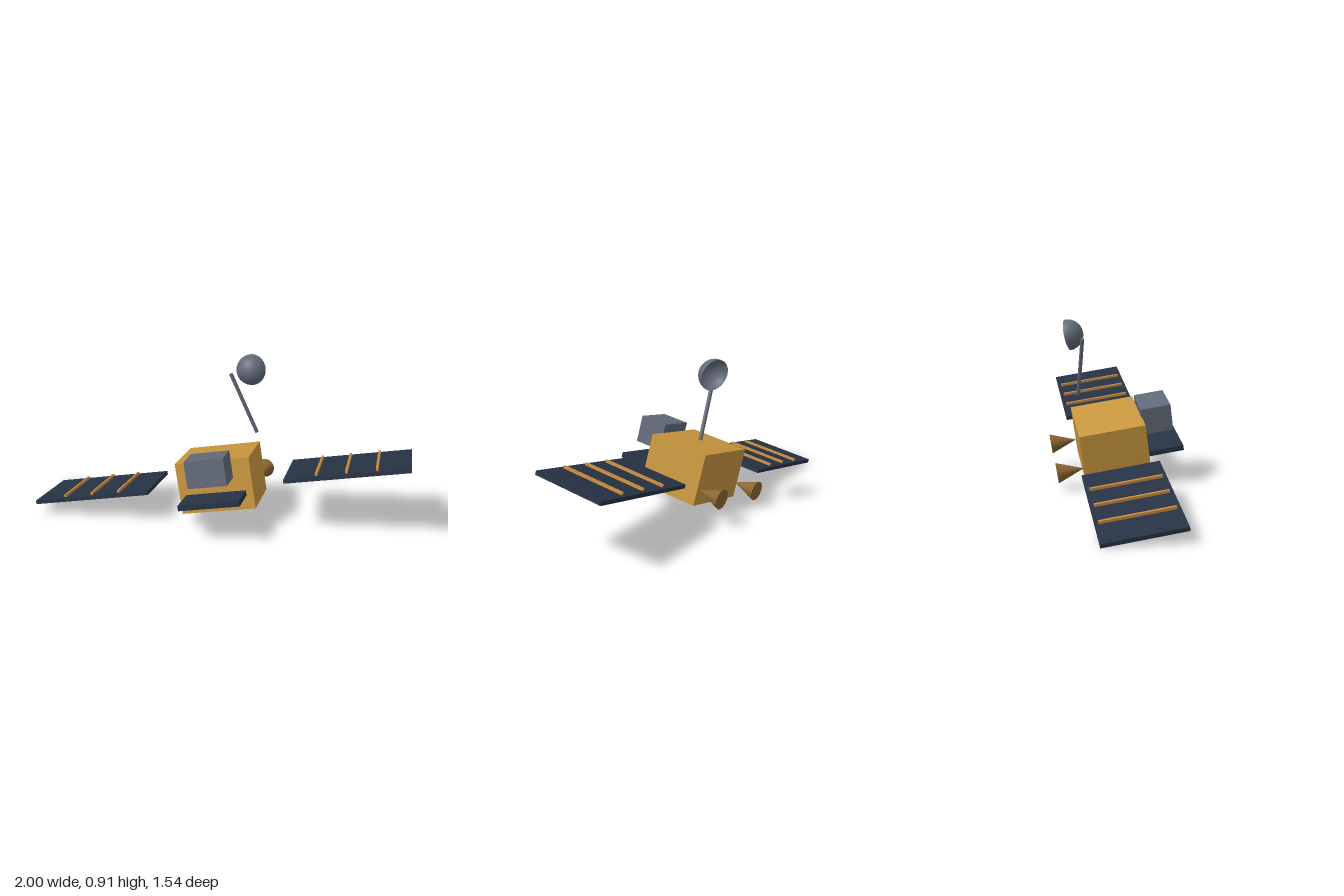
import * as THREE from 'three';

export function createModel() {
  const mat = (name, color, side = THREE.FrontSide) => {
    const m = new THREE.MeshStandardMaterial({ color, side });
    m.name = name;
    return m;
  };
  const gold = mat('gold foil', 0xc8963e);
  const navy = mat('navy panel', 0x263244);
  const copper = mat('copper strip', 0xc98b3c);
  const grey = mat('slate grey', 0x626978, THREE.DoubleSide);
  const brown = mat('nozzle brown', 0x8a6530);

  const model = new THREE.Group();
  model.name = 'satellite';
  const craft = new THREE.Group();
  craft.name = 'craft';
  model.add(craft);

  const add = (name, geometry, material, x, y, z, parent = craft) => {
    const mesh = new THREE.Mesh(geometry, material);
    mesh.name = name;
    mesh.position.set(x, y, z);
    parent.add(mesh);
    return mesh;
  };
  const box = (w, h, d) => new THREE.BoxGeometry(w, h, d);

  // Main body with the instrument box and shelf on its front
  add('body', box(0.425, 0.294, 0.37), gold, 0, 0, 0);
  add('instrumentBox', box(0.22, 0.154, 0.17), grey, 0, 0.119, 0.267);
  add('frontShelf', box(0.344, 0.03, 0.2), navy, 0, -0.052, 0.289);

  // Solar wings with raised strips, and thrusters at the back corners
  const nozzle = new THREE.ConeGeometry(0.057, 0.15, 24).rotateX(Math.PI / 2);
  for (const side of [1, -1]) {
    const wing = new THREE.Group();
    wing.name = side > 0 ? 'leftWing' : 'rightWing';
    wing.position.x = side * 0.735;
    craft.add(wing);
    add('solarPanel', box(0.688, 0.022, 0.425), navy, 0, 0, 0, wing);
    for (const i of [-1, 0, 1]) {
      add('panelStrip', box(0.013, 0.016, 0.385), copper, i * 0.164, 0.018, 0, wing);
    }
    add('thruster', nozzle, brown, side * 0.19, -0.055, -0.26);
  }

  // Whole craft drifts at an angle: basis from its side and front directions
  const u = new THREE.Vector3(0.814, 0.179, 0.552).normalize();
  const w = new THREE.Vector3(-0.585, 0.152, 0.796);
  const v = new THREE.Vector3().crossVectors(w, u).normalize();
  w.crossVectors(u, v);
  craft.quaternion.setFromRotationMatrix(new THREE.Matrix4().makeBasis(u, v, w));
  craft.position.set(0, 0.238, 0);

  // Leaning antenna mast
  const up = new THREE.Vector3(0, 1, 0);
  const foot = new THREE.Vector3(0.237, 0.468, -0.035);
  const tip = new THREE.Vector3(0.105, 0.817, -0.115);
  const span = tip.clone().sub(foot);
  const mid = foot.clone().add(tip).multiplyScalar(0.5);
  const mast = add('mast', new THREE.CylinderGeometry(0.011, 0.011, span.length(), 12),
    grey, mid.x, mid.y, mid.z, model);
  mast.quaternion.setFromUnitVectors(up, span.normalize());

  // Hemispherical dish, open side turned to the back left
  const bowl = new THREE.SphereGeometry(0.0885, 24, 12, 0, Math.PI * 2, 0, Math.PI / 2);
  const dish = add('dish', bowl, grey, 0.235, 0.826, -0.111, model);
  dish.quaternion.setFromUnitVectors(up, new THREE.Vector3(-0.78, 0.22, 0.58).normalize());

  return model;
}
